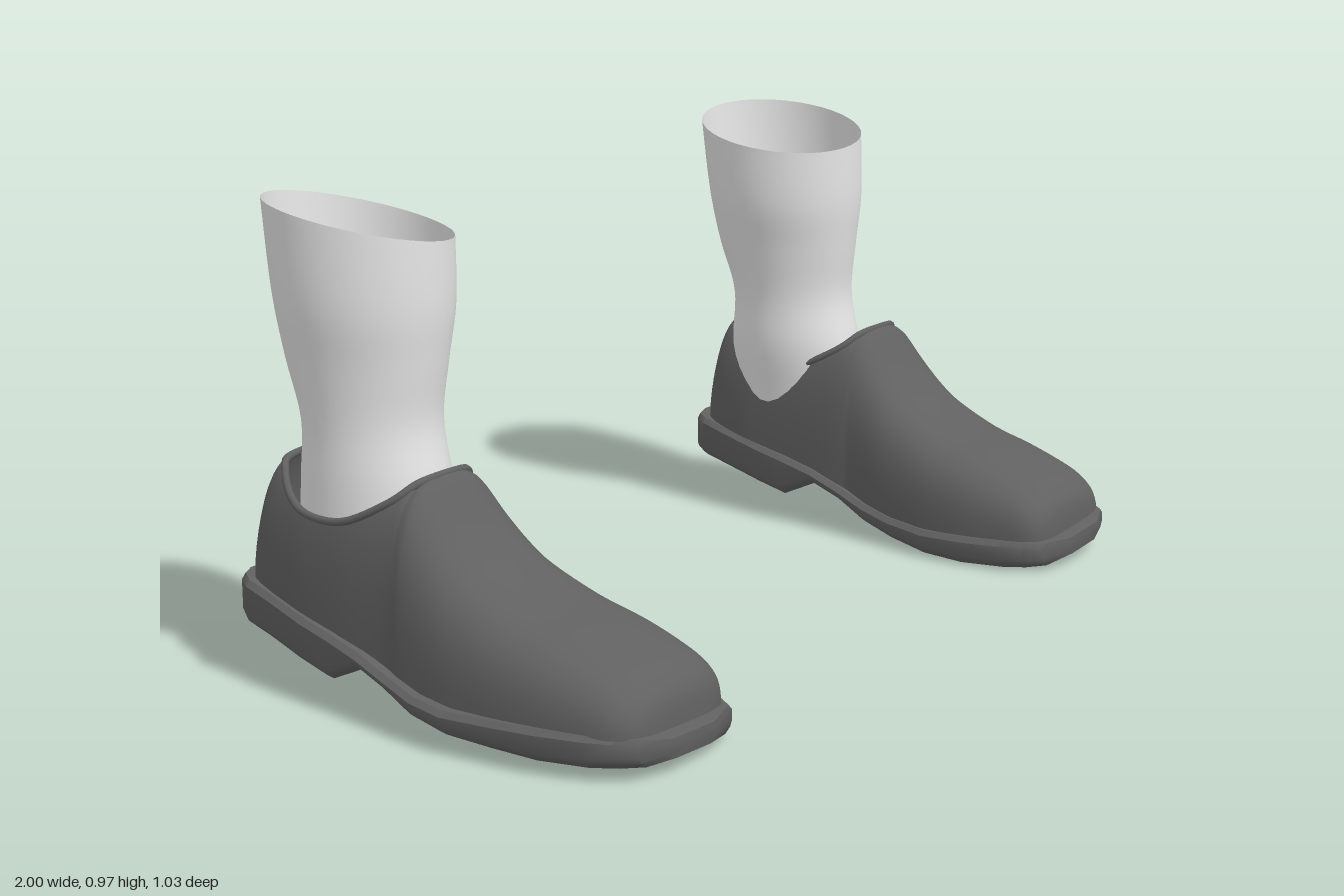
import * as THREE from 'three';
import { mergeVertices, toCreasedNormals } from 'three/addons/utils/BufferGeometryUtils.js';

const leather = new THREE.MeshStandardMaterial({ color: 0x606060, side: THREE.DoubleSide });
leather.name = 'dark leather';
const knit = new THREE.MeshStandardMaterial({ color: 0xe4e4e4, side: THREE.DoubleSide });
knit.name = 'pale knit';

// Upper sections: z, inner x, outer x, base y, top y, depth cut away for the opening
const UPPER = [
  [0.49, 0.70, 0.84, 0.06, 0.07, 0], [0.485, 0.66, 0.87, 0.06, 0.11, 0],
  [0.475, 0.625, 0.90, 0.06, 0.14, 0], [0.45, 0.60, 0.925, 0.06, 0.167, 0],
  [0.4, 0.585, 0.945, 0.055, 0.195, 0], [0.3, 0.572, 0.962, 0.05, 0.23, 0],
  [0.2, 0.575, 0.968, 0.05, 0.26, 0], [0.1, 0.59, 0.968, 0.05, 0.31, 0],
  [0.05, 0.60, 0.965, 0.055, 0.35, 0], [0, 0.612, 0.96, 0.065, 0.405, 0],
  [-0.04, 0.62, 0.955, 0.08, 0.455, 0], [-0.06, 0.62, 0.95, 0.09, 0.468, 0],
  [-0.1, 0.62, 0.945, 0.10, 0.475, 0.045], [-0.2, 0.625, 0.94, 0.13, 0.48, 0.1],
  [-0.3, 0.63, 0.93, 0.15, 0.48, 0.105], [-0.36, 0.635, 0.92, 0.16, 0.48, 0.08],
  [-0.43, 0.65, 0.905, 0.17, 0.462, 0], [-0.46, 0.665, 0.895, 0.18, 0.40, 0],
  [-0.477, 0.68, 0.885, 0.19, 0.30, 0], [-0.487, 0.71, 0.86, 0.19, 0.2, 0],
];

// Sole sections: z, inner x, outer x, bottom y, top y
const SOLE = [
  [0.513, 0.69, 0.84, 0.03, 0.07], [0.49, 0.61, 0.90, 0.022, 0.077],
  [0.45, 0.585, 0.93, 0.018, 0.08], [0.4, 0.57, 0.955, 0.015, 0.08],
  [0.3, 0.555, 0.98, 0.013, 0.078], [0.2, 0.558, 0.99, 0.017, 0.075],
  [0.1, 0.575, 1.0, 0.028, 0.078], [0.02, 0.59, 0.993, 0.045, 0.09],
  [-0.06, 0.602, 0.98, 0.08, 0.115], [-0.135, 0.605, 0.97, 0.105, 0.14],
  [-0.22, 0.608, 0.96, 0.065, 0.16], [-0.3, 0.615, 0.95, 0.081, 0.175],
  [-0.4, 0.63, 0.93, 0.101, 0.195], [-0.47, 0.64, 0.92, 0.115, 0.21],
  [-0.5, 0.66, 0.90, 0.121, 0.214], [-0.515, 0.70, 0.87, 0.124, 0.215],
];

// Sock rings: y, inner x, outer x, back z, front z
const SOCK = [
  [0.15, 0.65, 0.86, -0.44, -0.14], [0.3, 0.63, 0.88, -0.435, -0.105],
  [0.42, 0.613, 0.88, -0.43, -0.11], [0.54, 0.612, 0.877, -0.423, -0.133],
  [0.66, 0.592, 0.888, -0.46, -0.122], [0.78, 0.568, 0.906, -0.483, -0.111],
  [0.935, 0.56, 0.91, -0.504, -0.113],
];

// Smoothly subdivide a table of sections
function refine(table, steps) {
  const rows = [];
  for (let i = 0; i < table.length - 1; i++) {
    const p = [i - 1, i, i + 1, i + 2].map(k => table[Math.min(Math.max(k, 0), table.length - 1)]);
    for (let k = 0; k < steps; k++) {
      const t = k / steps;
      rows.push(p[1].map((b, c) => {
        const a = p[0][c], d = p[2][c], e = p[3][c];
        return b + 0.5 * t * (d - a + t * (2 * a - 5 * b + 4 * d - e + t * (3 * (b - d) + e - a)));
      }));
    }
  }
  rows.push(table[table.length - 1]);
  return rows;
}

// Skin rows of points; side -1 mirrors it; skip leaves out one column
function loft(rows, side, closed, skip = -1) {
  const n = rows[0].length, index = [];
  for (let i = 0; i < rows.length - 1; i++) {
    for (let j = 0; j < (closed ? n : n - 1); j++) {
      if (j === skip) continue;
      const a = i * n + j, b = i * n + (j + 1) % n, c = b + n, d = a + n;
      if (side > 0) index.push(a, d, b, b, d, c);
      else index.push(a, b, d, b, c, d);
    }
  }
  const pos = rows.flat().flatMap(([x, y, z]) => [x * side, y, z]);
  const geo = new THREE.BufferGeometry();
  geo.setAttribute('position', new THREE.Float32BufferAttribute(pos, 3));
  geo.setIndex(index);
  const merged = mergeVertices(geo, 1e-4);
  merged.computeVertexNormals();
  return merged;
}

function makeMesh(name, geo, mat) {
  const m = new THREE.Mesh(geo, mat);
  m.name = name;
  return m;
}

// Domed upper, clipped at the foot opening, with a rolled collar along the clip
function addUpper(group, side) {
  const M = 14, outerRim = [], innerRim = [];
  const rows = refine(UPPER, 4).map(([z, xi, xo, base, top, cut]) => {
    const cx = (xi + xo) / 2, hw = (xo - xi) / 2, h = top - base;
    const open = cut > 0.0005;
    const end = open ? Math.asin(Math.pow(1 - cut / h, 1.5)) : Math.PI / 2;
    const at = (f, s) => [
      cx + s * hw * Math.pow(Math.max(Math.cos(f), 0), 2 / 3),
      base + h * Math.pow(Math.sin(f), 2 / 3), z];
    const half = s => Array.from({ length: M + 1 }, (_, j) => at(end * Math.pow(j / M, 1.3), s));
    const outer = half(1), inner = half(-1).reverse();
    if (open) {
      outerRim.push(outer[M]);
      innerRim.push(inner[0]);
    }
    return [...outer, ...inner];
  });
  group.add(makeMesh('upper', loft(rows, side, false, M), leather));

  const rim = [...outerRim, ...innerRim.reverse()].map(([x, y, z]) => new THREE.Vector3(x * side, y, z));
  const curve = new THREE.CatmullRomCurve3(rim, true);
  group.add(makeMesh('collar', new THREE.TubeGeometry(curve, 90, 0.008, 8, true), leather));
}

// Sole with bevelled edges, arched shank, raised heel and slight sideways tilt
function addSole(group, side) {
  const r = 0.011;
  const rows = SOLE.map(([z, xi, xo, b, t]) => {
    const cx = (xi + xo) / 2;
    const tilt = 0.06 * THREE.MathUtils.clamp((z + 0.1) / 0.3, 0, 1);
    return [
      [xi + 2 * r, b], [xo - 2 * r, b], [xo - r / 2, b + r], [xo, b + 2 * r],
      [xo, t - r], [xo - r, t], [xi + r, t], [xi, t - r], [xi, b + 2 * r], [xi + r / 2, b + r],
    ].map(([x, y]) => [x, y + tilt * (x - cx), z]);
  });
  const cap = row => row.map(() => [0, 1, 2].map(k => row.reduce((s, p) => s + p[k], 0) / row.length));
  const all = [cap(rows[0]), ...rows, cap(rows[rows.length - 1])];
  group.add(makeMesh('sole', toCreasedNormals(loft(all, side, true), 0.75), leather));
}

// Open sock tube with a slanted top edge
function addSock(group, side) {
  const N = 40, table = refine(SOCK, 5);
  const rows = table.map(([y, xi, xo, zb, zf]) => {
    const slant = Math.pow(THREE.MathUtils.clamp((y - 0.6) / 0.335, 0, 1), 2);
    return Array.from({ length: N }, (_, j) => {
      const a = j / N * Math.PI * 2, c = Math.cos(a), s = Math.sin(a);
      return [(xi + xo) / 2 + c * (xo - xi) / 2, y + slant * (0.024 * c - 0.03 * s),
        (zb + zf) / 2 + s * (zf - zb) / 2];
    });
  });
  group.add(makeMesh('sock', loft(rows, side, true), knit));

  // Small pale patch under the heel
  const patch = makeMesh('heelPatch', new THREE.CylinderGeometry(0.02, 0.02, 0.008, 10), knit);
  patch.position.set(0.785 * side, 0.106, -0.44);
  patch.rotation.x = 0.2;
  group.add(patch);
}

export function createModel() {
  const model = new THREE.Group();
  model.name = 'shoesAndSocks';
  for (const side of [1, -1]) {
    const foot = new THREE.Group();
    foot.name = side > 0 ? 'leftFoot' : 'rightFoot';
    addUpper(foot, side);
    addSole(foot, side);
    addSock(foot, side);
    model.add(foot);
  }
  return model;
}
